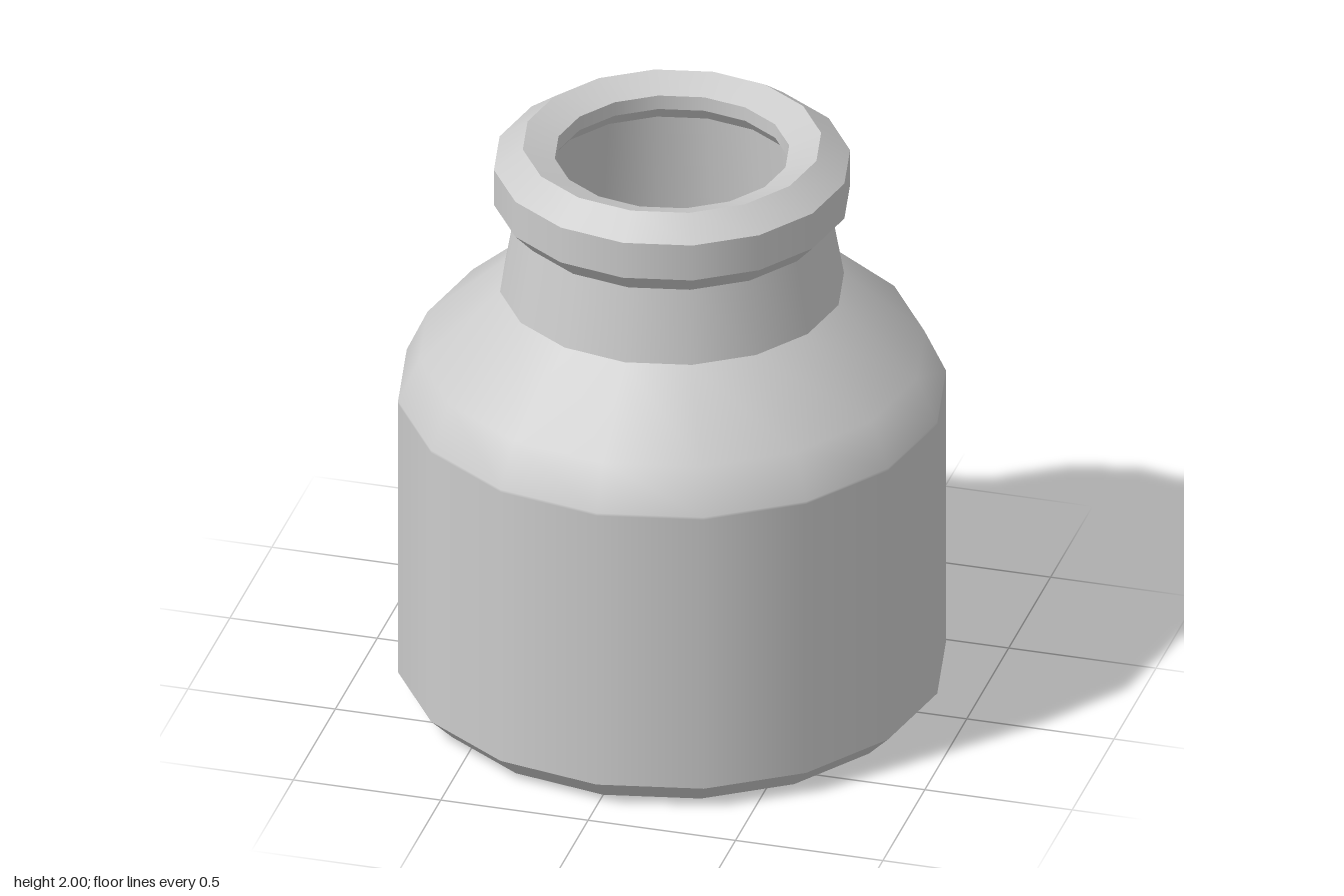
import * as THREE from 'three';

const SIDES = 16;

// Each run of profile points [radius, height] is smooth; edges between runs are sharp.
// The runs follow one path: under the base, up the outside, over the lip, down the inside.
const PARTS = {
  base: [[[0, 0], [0.82, 0]]],
  baseBevel: [[[0.82, 0], [0.9, 0.08]]],
  body: [[[0.9, 0.08], [0.9, 1.08], [0.9, 1.09], [0.83, 1.24], [0.565, 1.475]]],
  neck: [[[0.565, 1.475], [0.52, 1.73]]],
  lip: [
    [[0.52, 1.73], [0.585, 1.8]],
    [[0.585, 1.8], [0.585, 1.93]],
    [[0.585, 1.93], [0.49, 2]],
    [[0.49, 2], [0.385, 1.96]],
    [[0.385, 1.96], [0.385, 1.91]],
    [[0.385, 1.91], [0.425, 1.86]],
  ],
  innerWall: [
    [[0.425, 1.86], [0.465, 1.44]],
    [[0.465, 1.44], [0.74, 1.18], [0.8, 1.07], [0.8, 1.06], [0.8, 0.1]],
  ],
  innerFloor: [[[0.8, 0.1], [0, 0.1]]],
};

export function createModel() {
  const model = new THREE.Group();
  model.name = 'jar';
  const material = new THREE.MeshStandardMaterial({ color: 0xcccccc });

  for (const [name, runs] of Object.entries(PARTS)) {
    const part = new THREE.Group();
    part.name = name;
    for (const run of runs) {
      const points = run.map(([r, y]) => new THREE.Vector2(r, y));
      const mesh = new THREE.Mesh(new THREE.LatheGeometry(points, SIDES), material);
      mesh.name = name + 'Surface';
      part.add(mesh);
    }
    model.add(part);
  }
  return model;
}
